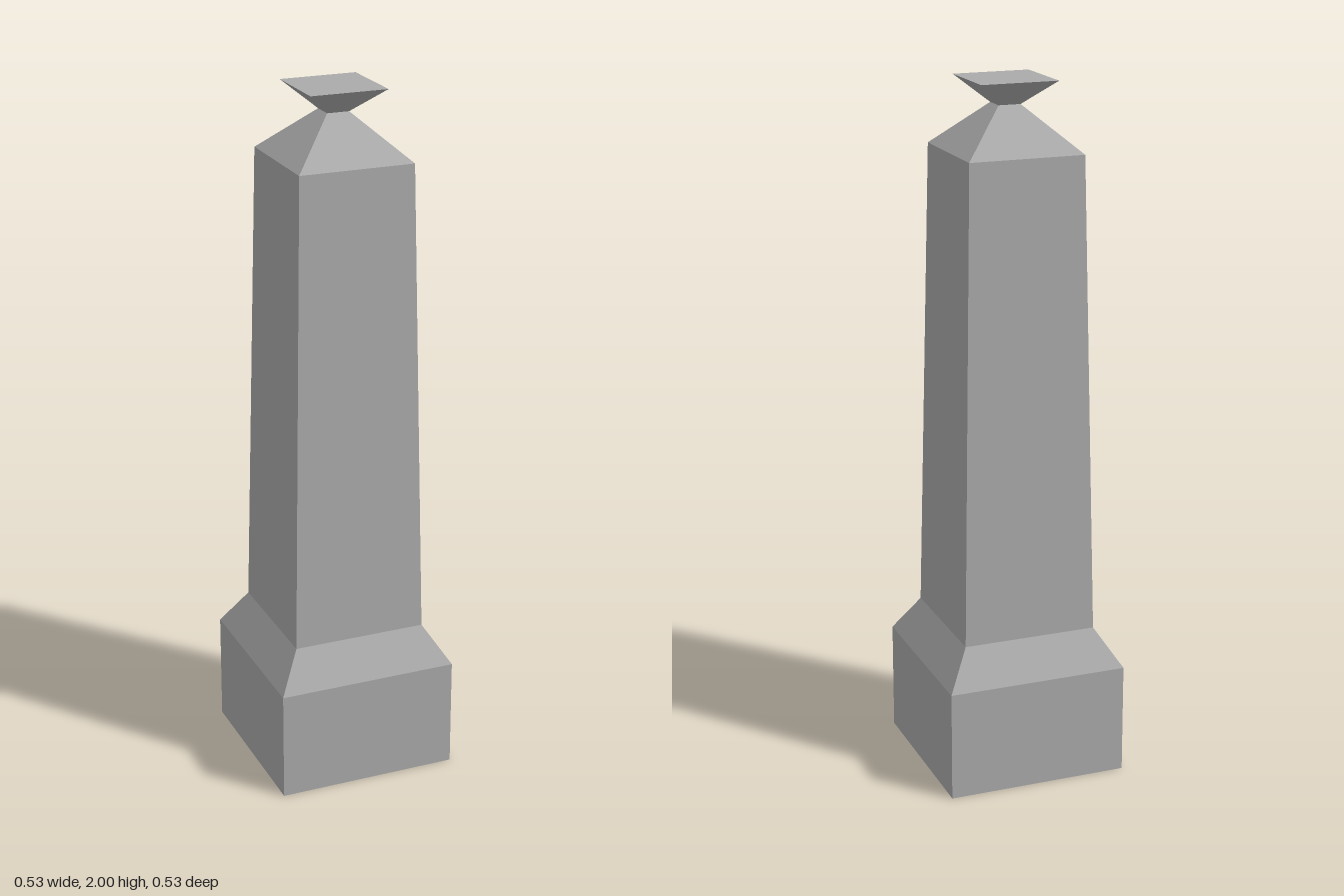
import * as THREE from 'three';

export function createModel() {
  const model = new THREE.Group();
  model.name = 'obelisk';

  const stone = new THREE.MeshStandardMaterial({ color: 0xaaaaaa });
  stone.name = 'grey stone';

  function add(name, geometry) {
    const mesh = new THREE.Mesh(geometry, stone);
    mesh.name = name;
    model.add(mesh);
    return mesh;
  }

  // Open square frustum with flat faces, given half widths and heights
  function section(name, lowHalf, highHalf, y0, y1) {
    let g = new THREE.CylinderGeometry(
      highHalf * Math.SQRT2, lowHalf * Math.SQRT2, y1 - y0, 4, 1, true);
    g.rotateY(Math.PI / 4);
    g.translate(0, (y0 + y1) / 2, 0);
    g = g.toNonIndexed();
    g.computeVertexNormals();
    add(name, g);
  }

  // Stacked sections, each sharing its rim with the next: [half width, height]
  const rims = [
    [0.264, 0], [0.264, 0.32], [0.196, 0.43],
    [0.167, 1.805], [0.032, 1.93], [0.112, 2],
  ];
  const names = ['plinth', 'plinthChamfer', 'shaft', 'pyramidCap', 'finial'];
  names.forEach((name, i) => {
    const [low, y0] = rims[i];
    const [high, y1] = rims[i + 1];
    section(name, low, high, y0, y1);
  });

  // Closing faces at the bottom and the top
  const bottom = new THREE.PlaneGeometry(0.528, 0.528);
  bottom.rotateX(Math.PI / 2);
  add('plinthUnderside', bottom);

  const top = new THREE.PlaneGeometry(0.224, 0.224);
  top.rotateX(-Math.PI / 2);
  top.translate(0, 2, 0);
  add('finialTop', top);

  return model;
}
